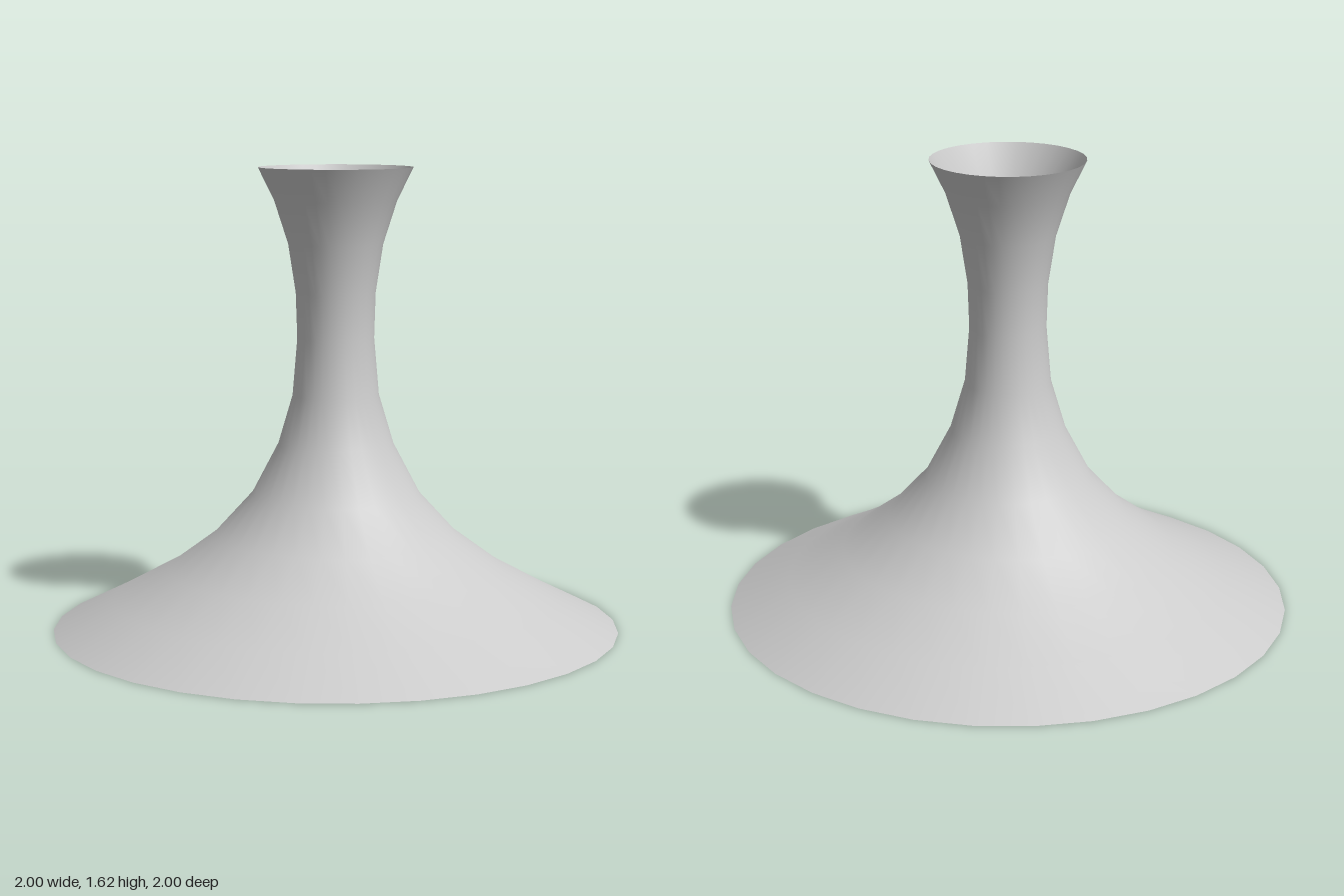
import * as THREE from 'three';

export function createModel() {
  const model = new THREE.Group();
  const material = new THREE.MeshStandardMaterial({ color: 0xcccccc, side: THREE.DoubleSide });

  // Profile [radius, height]: wide foot, narrow neck, flared mouth
  const profile = [
    [1, 0], [0.79, 0.105], [0.595, 0.212], [0.43, 0.333], [0.297, 0.478], [0.204, 0.655],
    [0.152, 0.83], [0.135, 1.03], [0.14, 1.19], [0.166, 1.36], [0.214, 1.51], [0.27, 1.625],
  ].map(([r, y]) => new THREE.Vector2(r, y));

  // Thin open shell, hollow from mouth to foot
  const shell = new THREE.Mesh(new THREE.LatheGeometry(profile, 32), material);
  shell.name = 'flaredShell';
  model.add(shell);

  return model;
}
